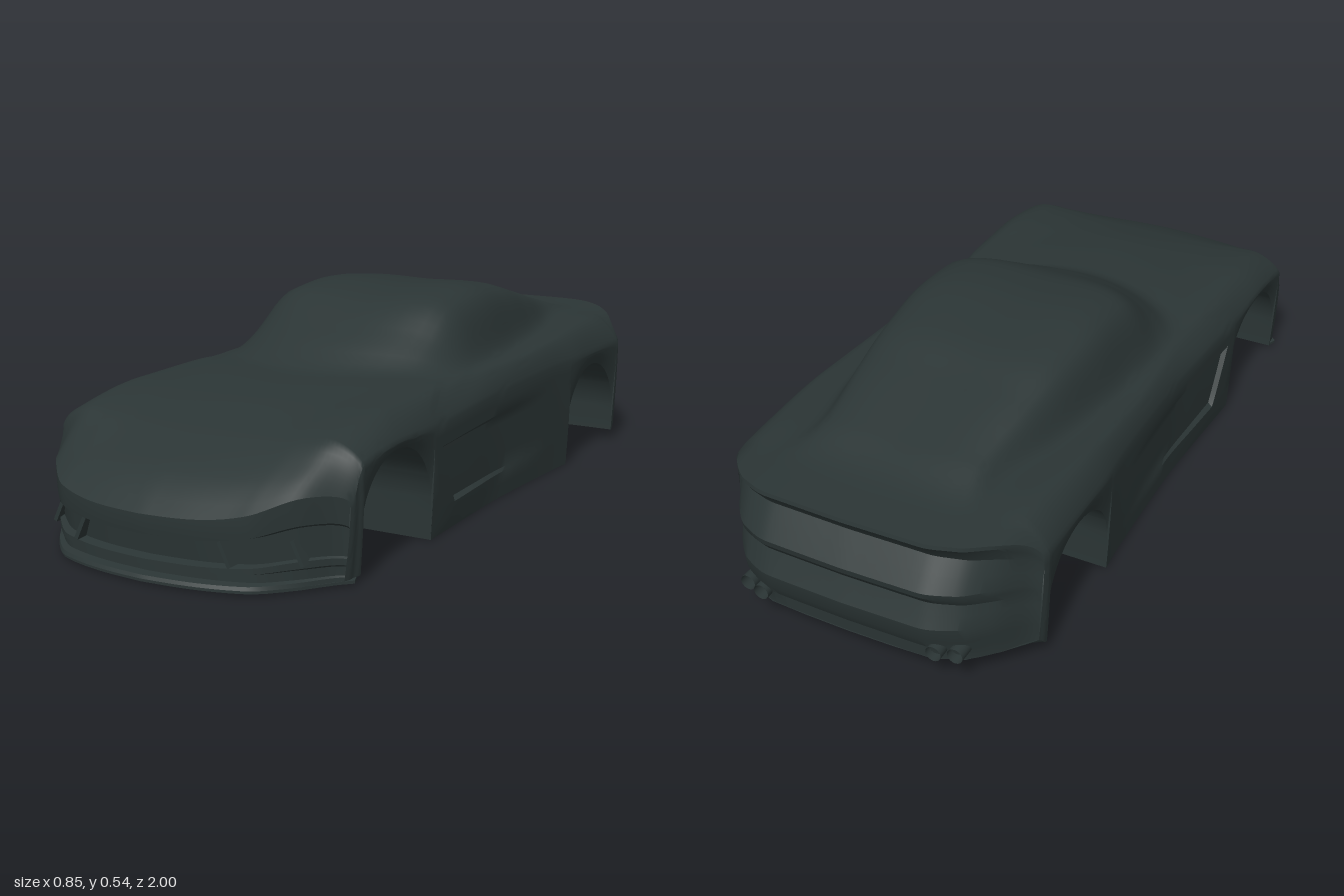
import * as THREE from 'three';
import { toCreasedNormals } from 'three/addons/utils/BufferGeometryUtils.js';

const paint = new THREE.MeshStandardMaterial({ color: 0x2b3535, side: THREE.DoubleSide });
paint.name = 'dark slate paint';

// Monotone cubic through table rows [position, value, value, ...], sorted by position
function curve(table, p, col = 1) {
  const n = table.length - 1;
  const slope = i => (table[i + 1][col] - table[i][col]) / (table[i + 1][0] - table[i][0]);
  const tangent = i => {
    if (i === 0 || i === n) return slope(i === 0 ? 0 : n - 1);
    const a = slope(i - 1), b = slope(i);
    return a * b <= 0 ? 0 : 2 * a * b / (a + b);
  };
  if (p <= table[0][0]) return table[0][col];
  if (p >= table[n][0]) return table[n][col];
  let i = 0;
  while (p > table[i + 1][0]) i++;
  const h = table[i + 1][0] - table[i][0], t = (p - table[i][0]) / h, s = 1 - t;
  return s * s * (1 + 2 * t) * table[i][col] + t * t * (3 - 2 * t) * table[i + 1][col]
    + h * t * s * (s * tangent(i) - t * tangent(i + 1));
}

// z, centre height, then x and y of roof edge, belt, shoulder and widest point
const SECTIONS = [
  [-0.975, .385, .2, .385, .28, .38, .36, .36, .42, .3],
  [-0.85, .39, .2, .387, .28, .38, .36, .365, .425, .3],
  [-0.7, .425, .2, .42, .26, .385, .37, .372, .425, .3],
  [-0.5, .477, .225, .465, .295, .375, .38, .37, .425, .3],
  [-0.35, .515, .24, .497, .315, .37, .38, .362, .415, .3],
  [-0.15, .53, .25, .515, .33, .365, .38, .35, .408, .295],
  [0, .515, .25, .505, .335, .365, .375, .345, .405, .29],
  [0.2, .43, .25, .415, .335, .36, .37, .34, .412, .285],
  [0.34, .362, .24, .36, .32, .354, .37, .34, .418, .28],
  [0.38, .36, .23, .36, .31, .355, .37, .345, .42, .28],
  [0.56, .345, .21, .345, .29, .35, .365, .345, .425, .285],
  [0.74, .305, .2, .308, .28, .315, .36, .315, .425, .27],
  [0.85, .265, .19, .265, .28, .27, .36, .275, .42, .235],
  [0.93, .225, .18, .225, .27, .23, .355, .245, .42, .21],
  [1, .165, .17, .17, .26, .185, .35, .215, .415, .195],
];
const NOSE = [[0, 1], [.1, .992], [.25, .955], [.33, .885], [.39, .805], [.43, .765]];
const TAIL = [[0, 1], [.2, .995], [.28, .965], [.34, .905], [.4, .815], [.43, .79]];
const BOW = [[-.3, 0], [0, .3], [.33, 1], [.7, 0]];
const SHEAR = [[-.1, 0], [.345, 1], [.386, 0]];
const ARCHES = [{ z: .5625, r: .172 }, { z: -.6025, r: .1675 }];
const WELL = .22;

// Rounds the nose and tail in plan
function plan(x, z) {
  if (z > .74) return .74 + (z - .74) * (curve(NOSE, Math.abs(x)) - .74) / .26;
  if (z < -.775) return -.775 + (z + .775) * (curve(TAIL, Math.abs(x)) - .775) / .225;
  return z;
}

function floorY(z) {
  if (z > -.435 && z < .39) return 0;
  if (z > .39) return .014;
  return curve([[-.975, .055], [-.77, .03], [-.435, .025]], z);
}

function sillY(z) {
  const a = ARCHES.find(c => Math.abs(z - c.z) < c.r);
  return a ? .095 + Math.sqrt(a.r ** 2 - (z - a.z) ** 2) : floorY(z);
}

// Centre-to-edge line over the top of the body at one station
function topLine(z) {
  const [yc, xr, yr, xb, yb, xs, ys, w, ym] = SECTIONS[0].slice(1).map((_, i) => curve(SECTIONS, z, i + 1));
  const c = new THREE.CatmullRomCurve3([[-xr, yr], [0, yc], [xr, yr], [xb, yb], [xs, ys], [w, ym], [w, ym - .08]]
    .map(([x, y]) => new THREE.Vector3(x, y, 0)));
  return Array.from({ length: 29 }, (_, i) => c.getPoint((1 + i / 7) / 6)).map(p => [p.x, p.y]);
}

// Half section of the outer skin, from sill to centre line
const SIDE_STEPS = [0, .12, .24, .27, .42, .58, .7, .77, .805, .9];
function skinHalf(z) {
  const top = topLine(z), [w, ym] = top[28], b = sillY(z);
  const inset = z < .345 && z > -.3 ? .014 * (z + .3) / .645 : 0;
  const side = SIDE_STEPS.map(k => {
    const y = b + (ym - b) * k;
    const x = w * (.975 + .025 * Math.sin(k * Math.PI / 2)) - (k > .25 && k < .79 ? inset : 0);
    return [x, y, plan(x, z) - .5 * Math.max(0, .225 - y) * (y > .05 ? 1 : y / .05) * curve(SHEAR, z)];
  });
  const upper = top.reverse().map(([x, y]) => {
    const fade = THREE.MathUtils.clamp((.4 - x) / .06, 0, 1);
    return [x, y, plan(x, z) - .15 * (Math.min(x, .34) / .34) ** 2 * fade * curve(BOW, z)];
  });
  return [...side, ...upper];
}

// Half section of the underside, including the wheel wells
function underHalf(z) {
  const f = floorY(z), b = sillY(z), w = curve(SECTIONS, z, 8) * .975;
  return [[0, f], [.12, f], [WELL, f], [WELL, b], [.29, b], [.35, b], [w, b]].map(([x, y]) => [x, y, plan(x, z)]);
}

const flip = ([x, y, z]) => [-x, y, z];

// Mesh over a grid of points given as equal rows
function gridMesh(name, rows, crease = .6) {
  const n = rows[0].length, index = [];
  for (let j = 0; j < rows.length - 1; j++) {
    for (let i = 0; i < n - 1; i++) {
      const a = j * n + i, b = a + n;
      index.push(a, a + 1, b, a + 1, b + 1, b);
    }
  }
  const g = new THREE.BufferGeometry();
  g.setAttribute('position', new THREE.Float32BufferAttribute(rows.flat(2), 3));
  g.setIndex(index);
  return named(name, toCreasedNormals(g, crease));
}

function named(name, geometry) {
  const m = new THREE.Mesh(geometry, paint);
  m.name = name;
  return m;
}

// End panel hanging from the last section, following [fraction down, z]
function fascia(name, end, bottom, profile) {
  const half = topLine(end);
  const top = [...half.slice(1).reverse(), ...half.map(([x, y]) => [-x, y])];
  if (end < 0) top.reverse();
  return gridMesh(name, profile.map(([t, z]) => top.map(([x0, y]) => {
    const x = x0 * (1 - .025 * t);
    return [x, y + (bottom - y) * t, plan(x, z)];
  })), .4);
}

export function createModel() {
  const car = new THREE.Group();
  car.name = 'coupe body shell';

  // Stations along the length, dense around the wheel arches
  const stations = [.344, .346];
  for (let i = 0; i <= 60; i++) stations.push(-.975 + 1.975 * i / 60);
  for (const { z, r } of ARCHES) {
    for (let i = 0; i <= 24; i++) stations.push(z + (r - .0004) * Math.cos(Math.PI * i / 24));
    stations.push(z - r - .0004, z + r + .0004);
  }
  stations.push(.3895, .3905, -.4345, -.4355);
  stations.sort((a, b) => a - b);

  car.add(gridMesh('bodySkin', stations.map(z => {
    const h = skinHalf(z);
    return [...h, ...h.slice(0, -1).reverse().map(flip)];
  })));
  car.add(gridMesh('underbody', stations.map(z => {
    const h = underHalf(z);
    return [...h.slice(1).reverse().map(flip), ...h];
  })));

  // Nose with grille recess, and tail with spoiler lip and bumper
  car.add(fascia('frontFascia', 1, .014,
    [[0, 1], [.15, 1], [.31, .996], [.34, .962], [.7, .955], [.72, .985], [.8, .985], [.82, .97], [.93, .97], [.95, .995], [1, 1]]));
  car.add(fascia('rearFascia', -.975, .055,
    [[0, -.975], [.03, -.977], [.08, -.96], [.16, -.943], [.27, -.97], [.38, -.996], [.43, -.992], [.5, -.974],
      [.58, -.985], [.68, -1], [.8, -.993], [.9, -.975], [1, -.972]]));

  // Front splitter blade
  const edge = Array.from({ length: 33 }, (_, i) => {
    const x = -.42 + .84 * i / 32;
    return new THREE.Vector2(x, -curve(NOSE, Math.abs(x)) + .004);
  });
  const blade = new THREE.Shape([new THREE.Vector2(-.41, -.745), ...edge, new THREE.Vector2(.41, -.745)]);
  const splitter = named('splitter', new THREE.ExtrudeGeometry(blade, { depth: .007, bevelEnabled: false }));
  splitter.rotation.x = -Math.PI / 2;
  splitter.position.y = .006;
  car.add(splitter);

  for (const s of [-1, 1]) {
    // Slanted grille dividers
    for (const [x, z] of [[.2, .945], [.335, .86]]) {
      const fin = named('grilleFin', new THREE.BoxGeometry(.01, .062, .03));
      fin.position.set(s * x, .09, z);
      fin.rotation.z = s * .45;
      car.add(fin);
    }
    // Twin tailpipes
    for (const x of [.235, .283]) {
      const pipe = named('tailpipe', new THREE.CylinderGeometry(.02, .02, .05, 20, 1, true));
      pipe.rotation.x = Math.PI / 2;
      pipe.position.set(s * x, .09, x < .25 ? -.962 : -.947);
      car.add(pipe);
    }
  }
  return car;
}
